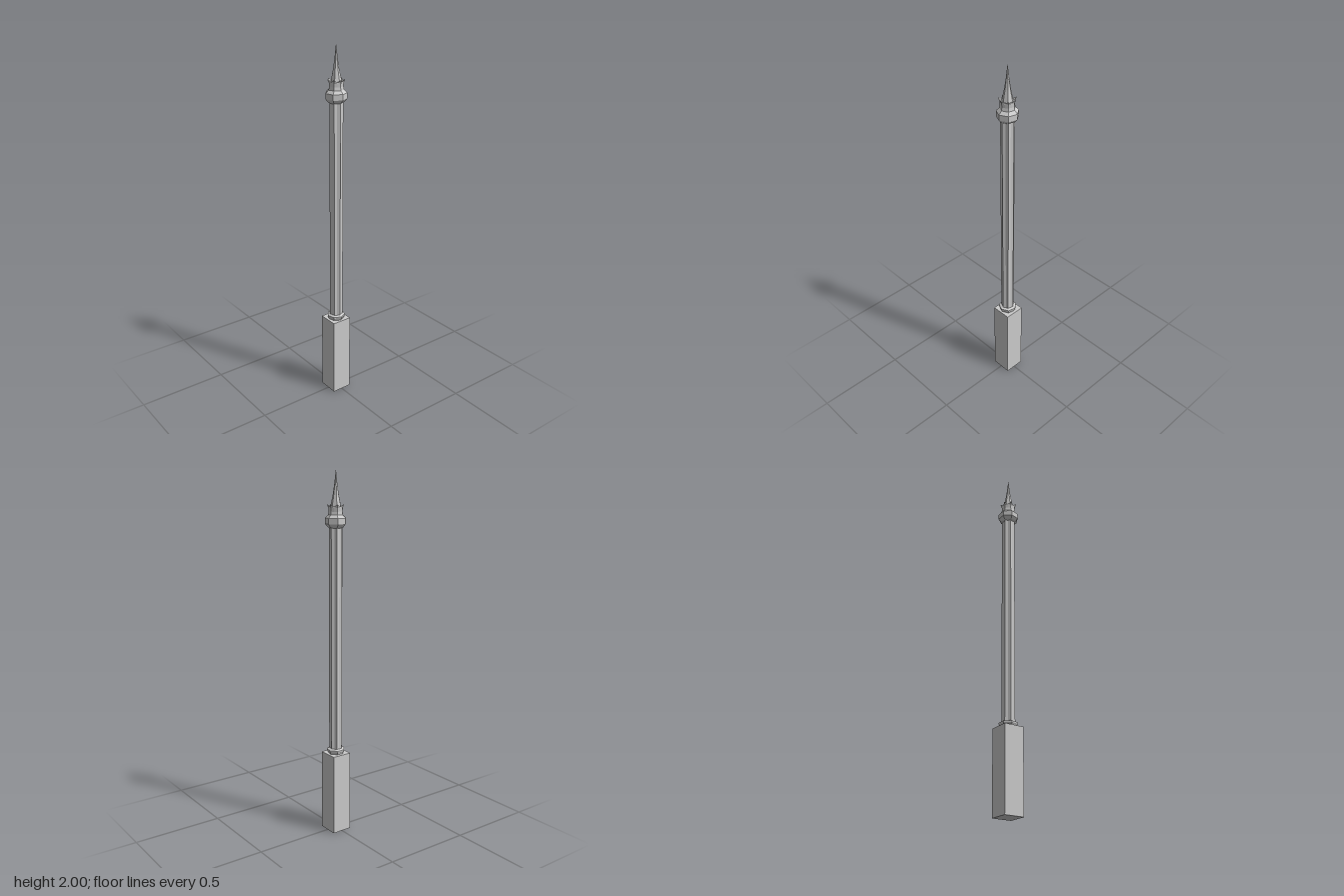
import * as THREE from 'three';

const SIDES = 7;
const FLAT = Math.cos(Math.PI / SIDES); // mid-edge radius of a heptagon

const material = new THREE.MeshStandardMaterial({
  color: 0xcccccc, flatShading: true, side: THREE.DoubleSide,
});

// Skin through seven-fold rings: [y, corner radius, mid-edge radius, mid-edge y].
function ringed(name, rings) {
  const n = SIDES * 2;
  const positions = [];
  const index = [];
  rings.forEach(([y, r, mid = r * FLAT, midY = y], k) => {
    for (let i = 0; i < n; i++) {
      const a = (i / n) * Math.PI * 2;
      const radius = i % 2 ? mid : r;
      positions.push(Math.cos(a) * radius, i % 2 ? midY : y, Math.sin(a) * radius);
      if (k === 0) continue;
      const j = (i + 1) % n;
      const lo = (k - 1) * n, hi = k * n;
      index.push(lo + i, hi + i, hi + j, lo + i, hi + j, lo + j);
    }
  });
  const geometry = new THREE.BufferGeometry();
  geometry.setAttribute('position', new THREE.Float32BufferAttribute(positions, 3));
  geometry.setIndex(index);
  geometry.computeVertexNormals();
  const mesh = new THREE.Mesh(geometry, material);
  mesh.name = name;
  return mesh;
}

export function createModel() {
  const group = new THREE.Group();
  group.name = 'spiredColumn';

  // Square pedestal
  const pedestal = new THREE.Mesh(new THREE.BoxGeometry(0.114, 0.457, 0.114), material);
  pedestal.name = 'pedestal';
  pedestal.position.set(-0.002, 0.2285, -0.001);
  group.add(pedestal);

  // Moulding at the foot of the shaft
  group.add(ringed('footCollar', [
    [0.455, 0.044], [0.464, 0.046], [0.472, 0.051], [0.48, 0.051], [0.486, 0.036],
  ]));

  // Fluted shaft
  group.add(ringed('shaft', [[0.47, 0.037, 0.03], [1.72, 0.037, 0.03]]));

  // Capital and neck
  group.add(ringed('capital', [
    [1.7, 0.034], [1.706, 0.044], [1.722, 0.0575], [1.752, 0.0575],
    [1.768, 0.041], [1.79, 0.037],
  ]));

  // Pointed crown flaring out around the spire
  group.add(ringed('crown', [
    [1.785, 0.038, 0.035], [1.803, 0.039, 0.036],
    [1.822, 0.047, 0.036, 1.81], [1.81, 0.034, 0.03], [1.808, 0.02],
  ]));

  // Concave spire
  group.add(ringed('spire', [
    [1.805, 0.03], [1.83, 0.025], [1.87, 0.0165], [1.92, 0.009], [2, 0],
  ]));

  return group;
}
